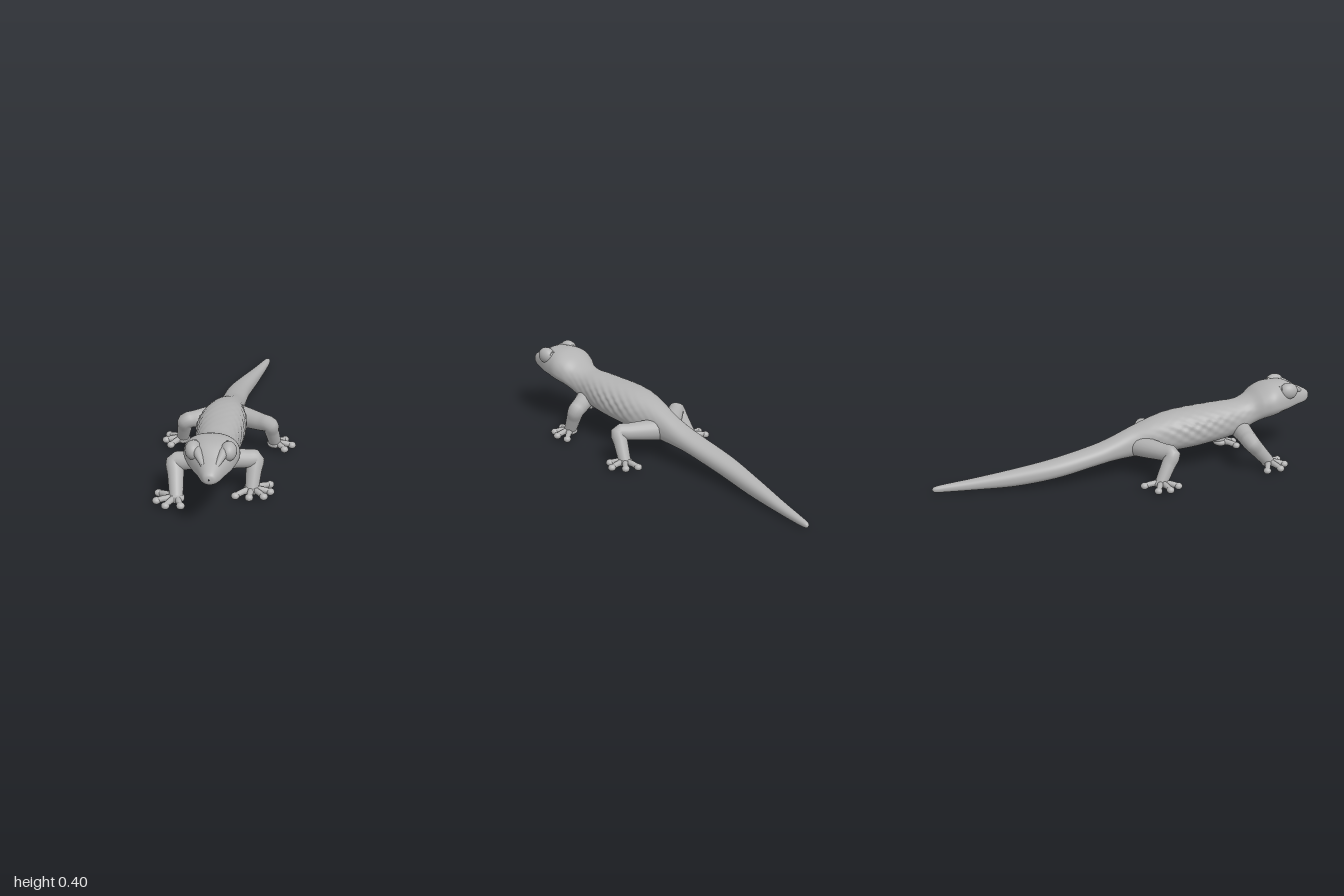
import * as THREE from 'three';

const skin = new THREE.MeshStandardMaterial({ color: 0xb2b2b2 });
skin.name = 'grey skin';

function addMesh(parent, geometry, name) {
  const mesh = new THREE.Mesh(geometry, skin);
  mesh.name = name;
  parent.add(mesh);
  return mesh;
}

function addBlob(parent, name, center, radii) {
  const mesh = addMesh(parent, new THREE.SphereGeometry(1, 24, 16), name);
  mesh.position.set(...center);
  mesh.scale.set(...radii);
  return mesh;
}

// Cross-sections from snout to tail tip: z, centre x, half width, top, bottom, height of widest point
const SECTIONS = [
  [0.998, -0.010, 0.002, 0.304, 0.298, 0.300],
  [0.990, -0.010, 0.026, 0.323, 0.275, 0.298],
  [0.960, -0.010, 0.044, 0.342, 0.260, 0.292],
  [0.910, -0.011, 0.066, 0.366, 0.255, 0.292],
  [0.850, -0.015, 0.098, 0.397, 0.247, 0.298],
  [0.790, -0.020, 0.119, 0.403, 0.238, 0.302],
  [0.740, -0.022, 0.128, 0.398, 0.229, 0.302],
  [0.690, -0.020, 0.116, 0.378, 0.215, 0.290],
  [0.640, -0.018, 0.096, 0.346, 0.190, 0.262],
  [0.580, -0.020, 0.093, 0.328, 0.158, 0.235],
  [0.500, -0.020, 0.103, 0.325, 0.140, 0.225],
  [0.400, -0.019, 0.114, 0.321, 0.128, 0.218],
  [0.300, -0.019, 0.118, 0.317, 0.119, 0.210],
  [0.200, -0.015, 0.110, 0.308, 0.113, 0.200],
  [0.100, -0.010, 0.088, 0.284, 0.104, 0.185],
  [0.000, 0.000, 0.068, 0.246, 0.098, 0.168],
  [-0.100, 0.001, 0.063, 0.206, 0.092, 0.148],
  [-0.200, 0.001, 0.062, 0.176, 0.078, 0.127],
  [-0.400, 0.011, 0.057, 0.134, 0.040, 0.087],
  [-0.600, 0.046, 0.045, 0.097, 0.013, 0.055],
  [-0.800, 0.090, 0.031, 0.062, 0.006, 0.034],
  [-0.930, 0.118, 0.021, 0.043, 0.004, 0.023],
  [-0.985, 0.128, 0.014, 0.033, 0.005, 0.019],
  [-1.000, 0.130, 0.001, 0.020, 0.018, 0.019],
];

const bell = (v, center, width) => Math.exp(-(((v - center) / width) ** 2));

function trunkGeometry() {
  const rings = 220, sides = 80;
  const plan = new THREE.CatmullRomCurve3(SECTIONS.map(s => new THREE.Vector3(s[0], s[1], s[2])), false, 'catmullrom');
  const side = new THREE.CatmullRomCurve3(SECTIONS.map(s => new THREE.Vector3(s[3], s[4], s[5])), false, 'catmullrom');
  const positions = [], index = [];
  const power = 2 / 2.25; // slightly squared ovals
  for (let j = 0; j <= rings; j++) {
    const { x: z, y: cx, z: width } = plan.getPoint(j / rings);
    const { x: top, y: bottom, z: mid } = side.getPoint(j / rings);
    for (let i = 0; i < sides; i++) {
      const a = (i / sides) * Math.PI * 2;
      const c = Math.cos(a), s = Math.sin(a);
      let dx = Math.sign(c) * Math.abs(c) ** power * width;
      let dy = Math.sign(s) * Math.abs(s) ** power * (s > 0 ? top - mid : mid - bottom);
      // Mouth crease around the snout
      const mouth = z > 0.78 && z < 0.99 ? 0.06 * bell(mid + dy, 0.264, 0.006) : 0;
      // Rows of soft warts along the flanks
      const flank = bell(z, 0.34, 0.2) * bell(s, 0.3, 0.45);
      const wart = 0.045 * flank * Math.sin(z * 95) * Math.cos(a * 14 * Math.sign(c));
      const scale = 1 - mouth + wart;
      positions.push(cx + dx * scale, mid + dy * scale, z);
    }
  }
  for (let j = 0; j < rings; j++) {
    for (let i = 0; i < sides; i++) {
      const a = j * sides + i, b = j * sides + ((i + 1) % sides);
      index.push(a, a + sides, b, b, a + sides, b + sides);
    }
  }
  const geometry = new THREE.BufferGeometry();
  geometry.setAttribute('position', new THREE.Float32BufferAttribute(positions, 3));
  geometry.setIndex(index);
  geometry.computeVertexNormals();
  return geometry;
}

// Tube along a smooth path, its radius following a list of values
function taperedTube(points, radii, steps = 28, sides = 18) {
  const curve = new THREE.CatmullRomCurve3(points.map(p => new THREE.Vector3(...p)));
  const geometry = new THREE.TubeGeometry(curve, steps, 1, sides);
  const pos = geometry.attributes.position, normal = geometry.attributes.normal;
  for (let k = 0; k < pos.count; k++) {
    const t = Math.floor(k / (sides + 1)) / steps;
    const f = t * (radii.length - 1), n = Math.min(Math.floor(f), radii.length - 2);
    const r = THREE.MathUtils.lerp(radii[n], radii[n + 1], f - n);
    const p = curve.getPointAt(t);
    pos.setXYZ(k, p.x + normal.getX(k) * r, p.y + normal.getY(k) * r, p.z + normal.getZ(k) * r);
  }
  return geometry;
}

// Limb from inside the body to the knee and ankle, with a padded foot
function makeLeg(name, { hip, knee, ankle, radii, toes }) {
  const leg = new THREE.Group();
  leg.name = name;
  const mix = (a, b, t) => a.map((v, i) => v + (b[i] - v) * t);
  const path = [hip, mix(hip, knee, 0.75), knee, mix(knee, ankle, 0.35), ankle];
  addMesh(leg, taperedTube(path, radii), 'limb');
  const [x, , z] = ankle;
  addBlob(leg, 'palm', [x, 0.032, z], [0.04, 0.023, 0.04]);
  for (const [tx, tz] of toes) {
    const tip = [tx, 0.026, tz];
    const start = [x, 0.032, z];
    const bend = mix(start, tip, 0.55);
    bend[1] = 0.034;
    addMesh(leg, taperedTube([start, bend, tip], [0.021, 0.015, 0.014], 10, 12), 'toe');
    addBlob(leg, 'toePad', tip, [0.02, 0.017, 0.02]);
  }
  return leg;
}

const LEGS = {
  frontRightLeg: {
    hip: [-0.05, 0.19, 0.58], knee: [-0.212, 0.163, 0.572], ankle: [-0.196, 0.035, 0.685],
    radii: [0.055, 0.046, 0.043, 0.037, 0.032],
    toes: [[-0.285, 0.635], [-0.285, 0.71], [-0.238, 0.755], [-0.168, 0.75]],
  },
  frontLeftLeg: {
    hip: [0.02, 0.19, 0.57], knee: [0.158, 0.163, 0.515], ankle: [0.148, 0.035, 0.575],
    radii: [0.055, 0.046, 0.043, 0.037, 0.032],
    toes: [[0.23, 0.51], [0.235, 0.58], [0.207, 0.63], [0.14, 0.645], [0.075, 0.635]],
  },
  hindRightLeg: {
    hip: [-0.02, 0.16, 0.02], knee: [-0.212, 0.165, 0.14], ankle: [-0.238, 0.035, 0.07],
    radii: [0.056, 0.05, 0.042, 0.036, 0.031],
    toes: [[-0.228, -0.015], [-0.31, 0.025], [-0.32, 0.085], [-0.29, 0.14]],
  },
  hindLeftLeg: {
    hip: [0.02, 0.16, 0.03], knee: [0.207, 0.165, 0.15], ankle: [0.23, 0.035, 0.085],
    radii: [0.056, 0.05, 0.042, 0.036, 0.031],
    toes: [[0.222, -0.002], [0.278, 0.03], [0.315, 0.09], [0.28, 0.14]],
  },
};

export function createModel() {
  const lizard = new THREE.Group();
  lizard.name = 'lizard';
  addMesh(lizard, trunkGeometry(), 'headBodyAndTail');

  // Bulging eyes with brow ridges running toward the snout
  for (const s of [-1, 1]) {
    const label = s > 0 ? 'left' : 'right';
    addBlob(lizard, label + 'Eye', [-0.017 + s * 0.079, 0.364, 0.838], [0.037, 0.043, 0.05]);
    const brow = [[-0.017 + s * 0.075, 0.372, 0.79], [-0.016 + s * 0.06, 0.37, 0.86], [-0.012 + s * 0.03, 0.338, 0.935]];
    addMesh(lizard, taperedTube(brow, [0.02, 0.022, 0.01], 16, 14), label + 'Brow');
  }

  for (const [name, spec] of Object.entries(LEGS)) lizard.add(makeLeg(name, spec));
  return lizard;
}
